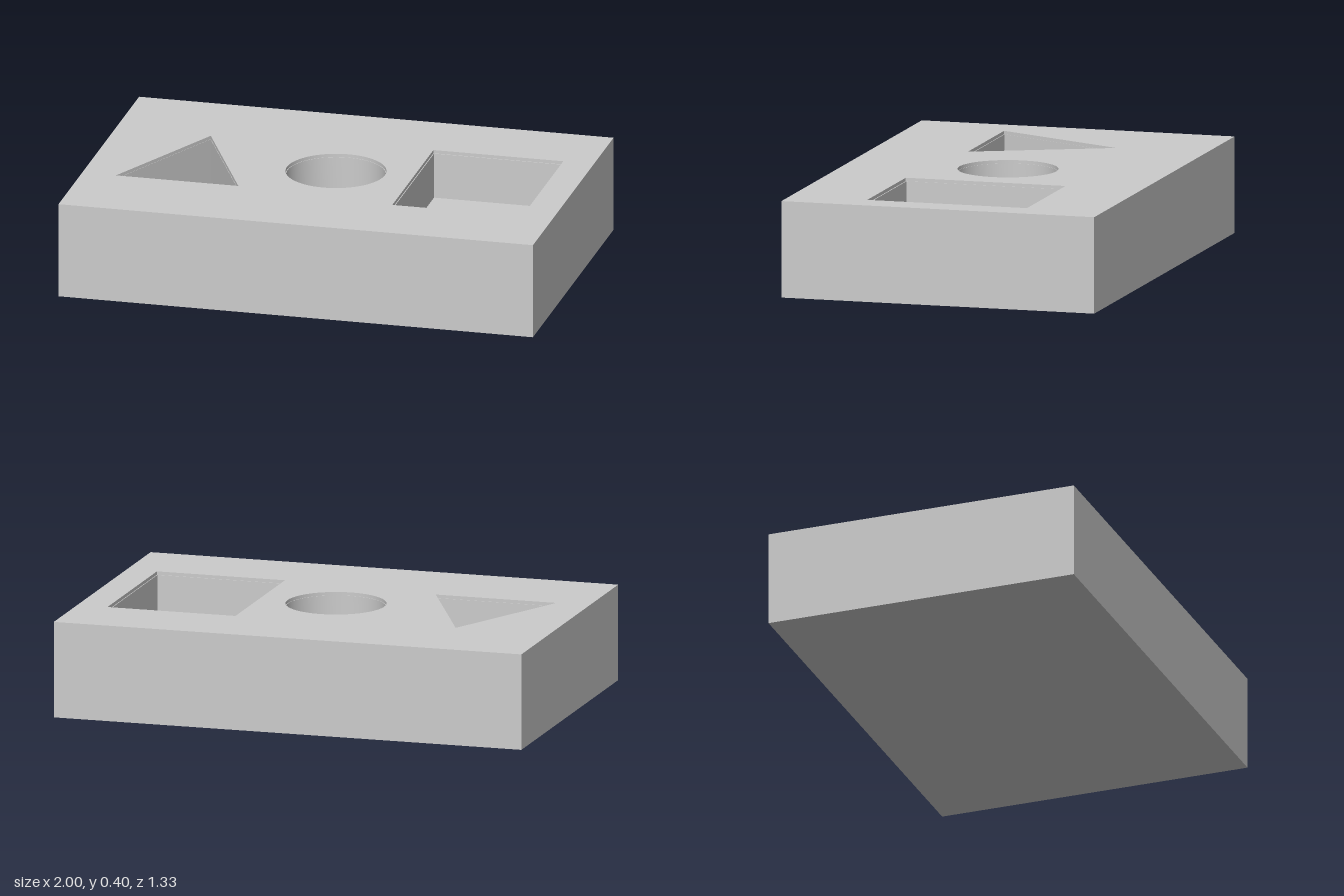
import * as THREE from 'three';
import { toCreasedNormals } from 'three/addons/utils/BufferGeometryUtils.js';

const W = 2, H = 0.4, D = 1.334;
const RIM = 0.386, FLOOR = 0.195; // heights of the rim step and pocket floors

const material = new THREE.MeshStandardMaterial({ color: 0xcccccc });

// Outlines are counterclockwise in plan: (x, -z)
const v = (x, z) => new THREE.Vector2(x, -z);
const circle = Array.from({ length: 64 }, (_, i) => {
  const a = (i / 64) * Math.PI * 2;
  return v(0.204 * Math.cos(a), -0.204 * Math.sin(a));
});
const pockets = {
  triangle: [v(-0.855, 0.27), v(-0.345, 0.27), v(-0.6, -0.28)],
  round: circle,
  rectangle: [v(0.327, 0.335), v(0.868, 0.335), v(0.868, -0.338), v(0.327, -0.338)],
};

// Outline scaled about its own centre
function scaled(points, s) {
  const c = new THREE.Box2().setFromPoints(points).getCenter(new THREE.Vector2());
  return points.map((p) => p.clone().sub(c).multiplyScalar(s).add(c));
}

// Flat horizontal sheet at height y, facing up
function sheet(outline, holes, y) {
  const shape = new THREE.Shape(outline);
  shape.holes = holes.map((h) => new THREE.Path(h));
  return new THREE.ShapeGeometry(shape).rotateX(-Math.PI / 2).translate(0, y, 0);
}

// Vertical walls around an outline, facing inward
function walls(outline, lo, hi) {
  const pos = [];
  outline.forEach((a, i) => {
    const b = outline[(i + 1) % outline.length];
    pos.push(a.x, lo, -a.y, b.x, hi, -b.y, b.x, lo, -b.y);
    pos.push(a.x, lo, -a.y, a.x, hi, -a.y, b.x, hi, -b.y);
  });
  const g = new THREE.BufferGeometry();
  g.setAttribute('position', new THREE.Float32BufferAttribute(pos, 3));
  g.computeVertexNormals();
  return toCreasedNormals(g, 0.5);
}

export function createModel() {
  const model = new THREE.Group();
  model.name = 'shapeBoard';
  const add = (parent, name, geometry) => {
    const mesh = new THREE.Mesh(geometry, material);
    mesh.name = name;
    parent.add(mesh);
  };

  // Sides and underside: a box without its top face
  const box = new THREE.BoxGeometry(W, H, D).translate(0, H / 2, 0);
  const index = Array.from(box.index.array);
  index.splice(12, 6);
  box.setIndex(index);
  box.clearGroups();
  add(model, 'blockSides', box);

  // Top face with the three openings
  const x = W / 2, z = D / 2;
  const openings = Object.values(pockets).map((p) => scaled(p, 1.012));
  add(model, 'topFace', sheet([v(-x, z), v(x, z), v(x, -z), v(-x, -z)], openings, H));

  // Blind pockets, each with a fine stepped rim
  for (const [name, outline] of Object.entries(pockets)) {
    const group = new THREE.Group();
    group.name = `${name}Pocket`;
    const rim = scaled(outline, 1.012);
    add(group, 'rim', walls(rim, RIM, H));
    add(group, 'ledge', sheet(rim, [outline], RIM));
    add(group, 'walls', walls(outline, FLOOR, RIM));
    add(group, 'floor', sheet(outline, [], FLOOR));
    model.add(group);
  }
  return model;
}
